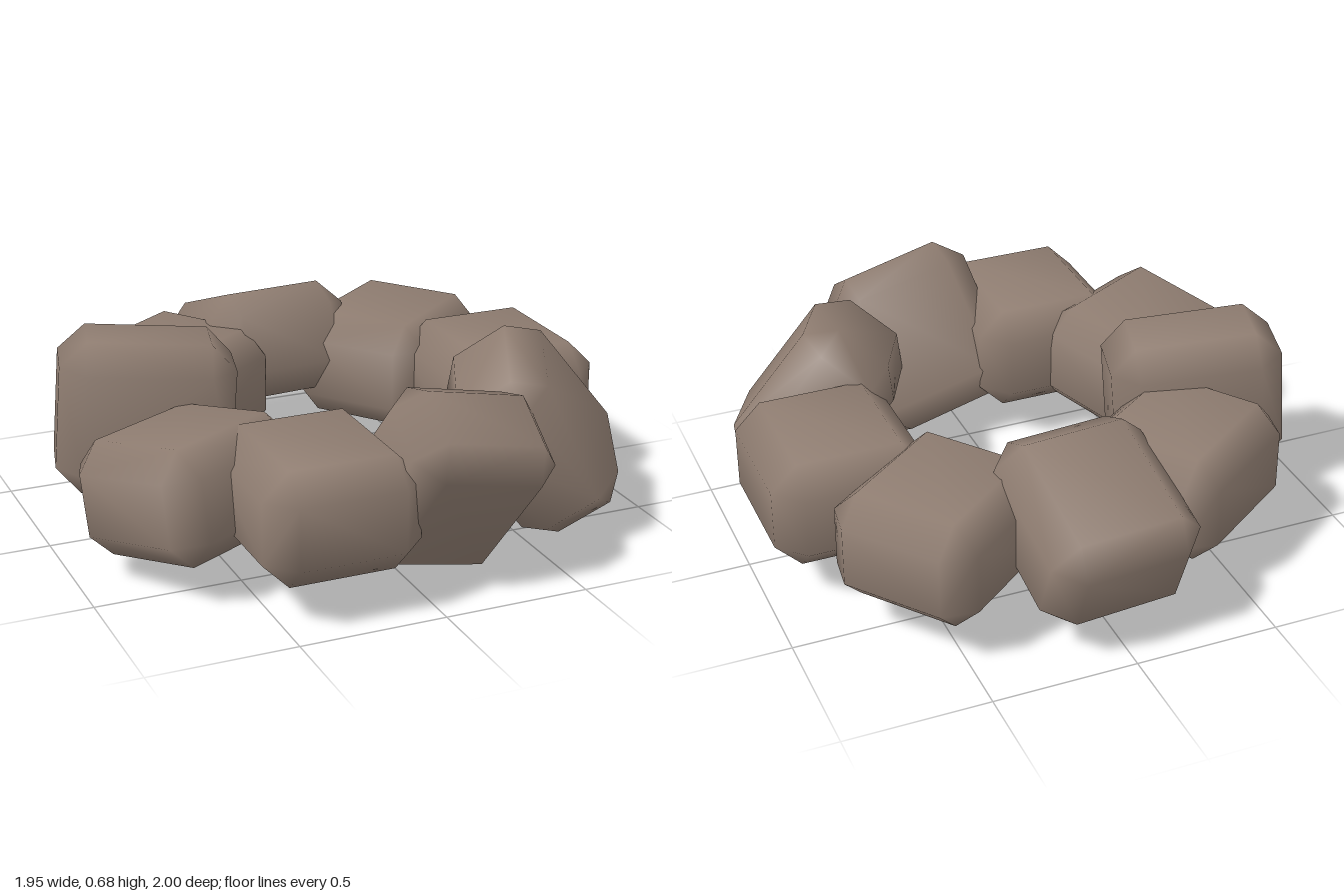
import * as THREE from 'three';
import { ConvexGeometry } from 'three/addons/geometries/ConvexGeometry.js';
import { mergeVertices } from 'three/addons/utils/BufferGeometryUtils.js';

// Box with one-step bevels on all edges and corners, shaded smooth
function bevelledBox(w, h, d, bevel) {
  const half = [w / 2, h / 2, d / 2];
  const points = [];
  for (const sx of [-1, 1]) for (const sy of [-1, 1]) for (const sz of [-1, 1]) {
    for (let outer = 0; outer < 3; outer++) {
      const c = half.map((v, i) => (i === outer ? v : v - bevel));
      points.push(new THREE.Vector3(sx * c[0], sy * c[1], sz * c[2]));
    }
  }
  const hull = new ConvexGeometry(points);
  hull.deleteAttribute('normal');
  const geometry = mergeVertices(hull, 1e-4);
  geometry.computeVertexNormals();
  return geometry;
}

// Each stone: centre, direction of its width (x), direction of its length (z)
const STONES = [
  { at: [0.025, 0.36, -0.675], x: [1, 0, -0.08], z: [0.07, 0.35, 0.93] },
  { at: [0.475, 0.325, -0.49], x: [0.61, 0, 0.79], z: [-0.79, 0, 0.61] },
  { at: [0.70, 0.325, -0.04], x: [1, 0, 0], z: [0, 0, 1] },
  { at: [0.59, 0.333, 0.44], x: [-0.4, -0.2, 0.9], z: [0.61, -0.78, 0.1] },
  { at: [0.13, 0.335, 0.707], x: [0.97, -0.21, -0.07], z: [-0.2, -0.83, -0.52] },
  { at: [-0.30, 0.325, 0.66], x: [1, 0, 0], z: [0, 0, 1] },
  { at: [-0.62, 0.30, 0.35], x: [0.46, 0.16, 0.87], z: [-0.88, 0, 0.47] },
  { at: [-0.61, 0.385, -0.125], x: [0.08, 1, 0], z: [0.965, -0.08, 0.25] },
  { at: [-0.40, 0.325, -0.45], x: [0.57, 0, 0.82], z: [-0.82, 0, 0.57] },
];

export function createModel() {
  const group = new THREE.Group();
  group.name = 'stoneRing';
  const stoneMaterial = new THREE.MeshStandardMaterial({ color: 0x8f7d71 });
  stoneMaterial.name = 'stone';
  const geometry = bevelledBox(0.54, 0.39, 0.6, 0.09);

  STONES.forEach((s, i) => {
    // Square up the two directions into a rotation
    const x = new THREE.Vector3(...s.x).normalize();
    const y = new THREE.Vector3(...s.z).cross(x).normalize();
    const z = new THREE.Vector3().crossVectors(x, y);
    const stone = new THREE.Mesh(geometry, stoneMaterial);
    stone.name = `stone${i + 1}`;
    stone.position.set(...s.at);
    stone.quaternion.setFromRotationMatrix(new THREE.Matrix4().makeBasis(x, y, z));
    group.add(stone);
  });
  return group;
}
